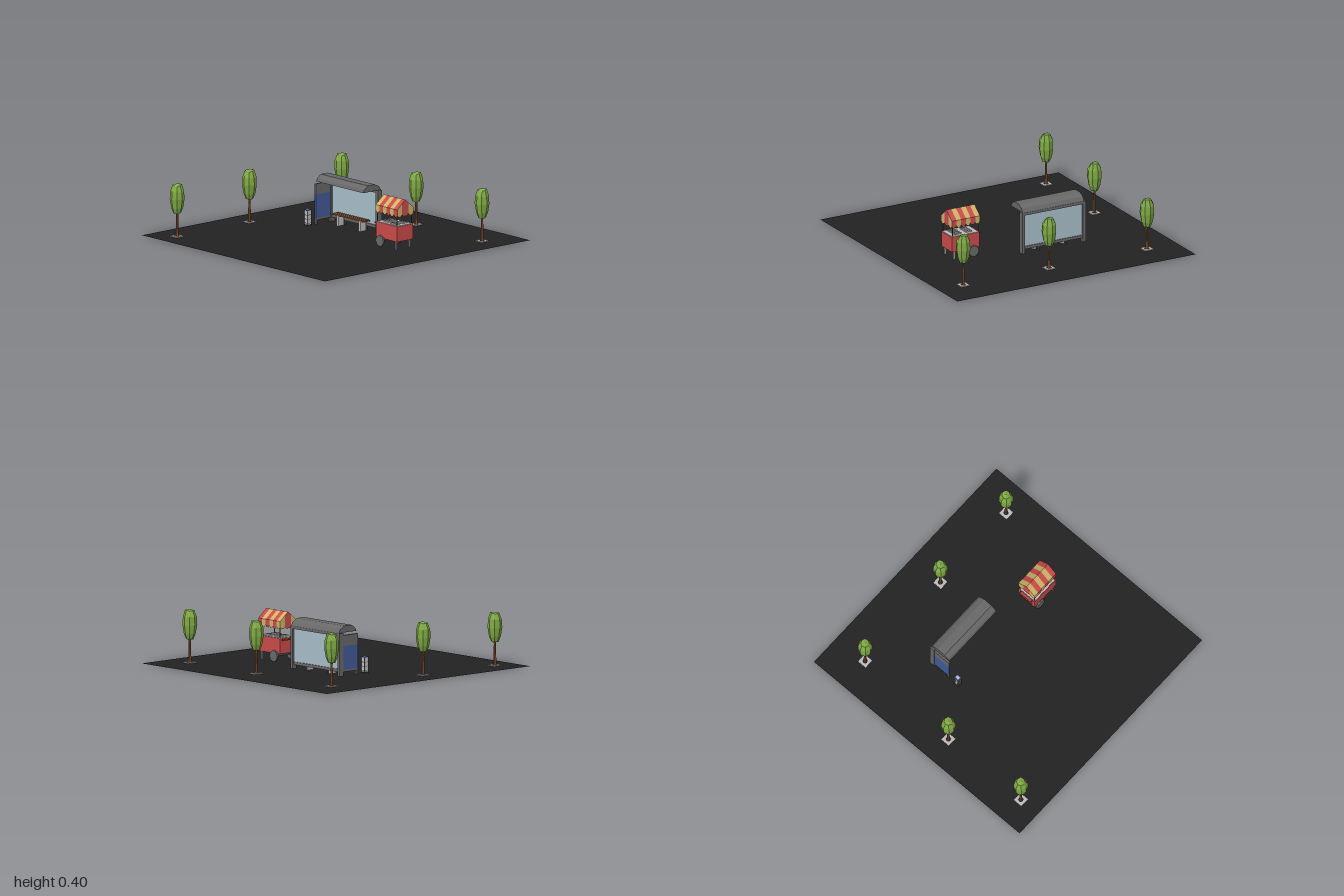
import * as THREE from 'three';

const mat = (name, color, side = THREE.FrontSide) => {
  const m = new THREE.MeshStandardMaterial({ color, side });
  m.name = name;
  return m;
};

// Faceted copy of a geometry
function flat(geometry) {
  const g = geometry.index ? geometry.toNonIndexed() : geometry;
  g.computeVertexNormals();
  return g;
}

export function createModel() {
  const M = {
    asphalt: mat('asphalt', 0x222222, THREE.DoubleSide),
    leaf: mat('leaf green', 0x7fa945),
    wood: mat('brown wood', 0x8a5232),
    steel: mat('grey steel', 0x686868),
    dark: mat('dark grey', 0x4a4a4a),
    pale: mat('pale grey', 0xbcbcbc),
    red: mat('red', 0xcb4b4b, THREE.DoubleSide),
    yellow: mat('straw yellow', 0xd0b468, THREE.DoubleSide),
    glass: mat('pale blue glass', 0xa8bfcb),
    blue: mat('blue', 0x415a96),
  };
  const model = new THREE.Group();
  model.name = 'streetCorner';

  const add = (parent, name, geometry, material) => {
    const mesh = new THREE.Mesh(geometry, material);
    mesh.name = name;
    parent.add(mesh);
    return mesh;
  };
  // Box given by its min and max on each axis
  const box = (parent, name, material, x0, x1, y0, y1, z0, z1) => {
    const mesh = add(parent, name, new THREE.BoxGeometry(x1 - x0, y1 - y0, z1 - z0), material);
    mesh.position.set((x0 + x1) / 2, (y0 + y1) / 2, (z0 + z1) / 2);
    return mesh;
  };
  const group = (name, x = 0, z = 0) => {
    const g = new THREE.Group();
    g.name = name;
    g.position.set(x, 0, z);
    model.add(g);
    return g;
  };
  const polygon = (points) => new THREE.Shape(points.map(([x, y]) => new THREE.Vector2(x, y)));

  add(model, 'ground', new THREE.PlaneGeometry(2, 2).rotateX(-Math.PI / 2), M.asphalt);

  // Trees: faceted crown, tapered trunk, square grate
  const profile = [[0, 0.17], [0.027, 0.175], [0.043, 0.215], [0.054, 0.28], [0.051, 0.34], [0.032, 0.385], [0, 0.395]];
  const crown = new THREE.LatheGeometry(profile.map(([r, y]) => new THREE.Vector2(r, y)), 8);
  const p = crown.attributes.position;
  for (let i = 0; i < p.count; i++) {
    const x = p.getX(i), y = p.getY(i), z = p.getZ(i);
    if (Math.hypot(x, z) < 0.001) continue;
    const wobble = Math.sin(x * 230 + y * 90) * Math.cos(z * 170 - y * 60);
    p.setXYZ(i, x * (1 + 0.07 * wobble), y + 0.009 * wobble, z * (1 + 0.07 * wobble));
  }
  const crownGeo = flat(crown);
  const trunkGeo = flat(new THREE.CylinderGeometry(0.007, 0.012, 0.19, 6).translate(0, 0.095, 0));
  const grateShape = polygon([[-0.036, -0.036], [0.036, -0.036], [0.036, 0.036], [-0.036, 0.036]]);
  grateShape.holes.push(new THREE.Path().absarc(0, 0, 0.019, 0, Math.PI * 2, true));
  const grateGeo = new THREE.ExtrudeGeometry(grateShape, { depth: 0.005, bevelEnabled: false, curveSegments: 4 })
    .rotateX(-Math.PI / 2);
  for (const [x, z] of [[-0.835, -0.8], [-0.13, -0.8], [0.725, -0.75], [0.72, 0.07], [0.72, 0.79]]) {
    const tree = group('tree', x, z);
    add(tree, 'crown', crownGeo, M.leaf);
    add(tree, 'trunk', trunkGeo, M.wood);
    add(tree, 'treeGrate', grateGeo, M.pale);
    for (const s of [-1, 1]) {
      const branch = add(tree, 'branch', new THREE.CylinderGeometry(0.003, 0.005, 0.06, 5), M.wood);
      branch.position.set(s * 0.008, 0.17, 0);
      branch.rotation.z = -s * 0.3;
    }
  }

  // Bus shelter: arched roof, glazed back wall, one end panel, bench
  const shelter = group('shelter');
  const arch = polygon([[0.19, 0.318], [0.2, 0.34], [0.235, 0.366], [0.305, 0.366], [0.345, 0.345], [0.365, 0.315], [0.335, 0.318]]);
  const roof = add(shelter, 'roof', new THREE.ExtrudeGeometry(arch, { depth: 0.515, bevelEnabled: false }), M.steel);
  roof.position.z = -0.43;
  for (const z of [-0.443, 0.068]) {
    box(shelter, 'post', M.steel, 0.327, 0.366, 0, 0.316, z, z + 0.022);
  }
  box(shelter, 'topBeam', M.steel, 0.333, 0.367, 0.295, 0.316, -0.443, 0.09);
  box(shelter, 'bottomRail', M.steel, 0.337, 0.357, 0.03, 0.052, -0.43, 0.08);
  box(shelter, 'backGlass', M.glass, 0.343, 0.351, 0.05, 0.297, -0.425, 0.07);
  for (const z of [-0.29, -0.06]) box(shelter, 'railFoot', M.steel, 0.342, 0.352, 0, 0.032, z, z + 0.008);
  box(shelter, 'endPanelHead', M.steel, 0.185, 0.328, 0.22, 0.3, -0.44, -0.425);
  box(shelter, 'endPanel', M.blue, 0.185, 0.328, 0.045, 0.22, -0.44, -0.425);
  box(shelter, 'endPanelSill', M.steel, 0.185, 0.328, 0.03, 0.045, -0.44, -0.425);
  box(shelter, 'endPanelFoot', M.steel, 0.185, 0.197, 0, 0.03, -0.44, -0.425);
  for (let i = 0; i < 3; i++) {
    const x = 0.262 + i * 0.021;
    box(shelter, 'benchSlat', M.wood, x, x + 0.017, 0.075, 0.085, -0.34, 0.01);
  }
  for (const z of [-0.29, -0.05]) box(shelter, 'benchSupport', M.pale, 0.265, 0.32, 0, 0.075, z, z + 0.02);

  // Litter bin: slatted sides, framed top
  const bin = group('litterBin', 0.108, -0.43);
  box(bin, 'binBody', M.pale, -0.018, 0.018, 0.008, 0.115, -0.016, 0.016);
  for (const x of [-0.019, 0.019]) for (const z of [-0.017, 0.017]) {
    box(bin, 'binPost', M.dark, x - 0.002, x + 0.002, 0, 0.12, z - 0.002, z + 0.002);
  }
  for (const y of [0.02, 0.05, 0.08]) box(bin, 'binBand', M.dark, -0.0195, 0.0195, y, y + 0.003, -0.0175, 0.0175);
  box(bin, 'binRim', M.blue, -0.022, 0.022, 0.115, 0.121, -0.019, 0.019);
  box(bin, 'binLid', M.pale, -0.013, 0.013, 0.121, 0.124, -0.011, 0.011);

  // Vending cart: red body, counter, wheels and legs
  const cart = group('cart', 0.142, 0.48);
  box(cart, 'cartBody', M.red, -0.078, 0.078, 0.06, 0.174, -0.115, 0.117);
  box(cart, 'counter', M.pale, -0.074, 0.074, 0.174, 0.178, -0.111, 0.113);
  for (const [x, z, w, d] of [[-0.035, 0.05, 0.045, 0.06], [0.03, 0.05, 0.04, 0.06], [0, -0.045, 0.09, 0.05]]) {
    box(cart, 'foodTray', M.pale, x - w / 2, x + w / 2, 0.178, 0.186, z - d / 2, z + d / 2);
    box(cart, 'trayInset', M.steel, x - w / 2 + 0.006, x + w / 2 - 0.006, 0.186, 0.1875, z - d / 2 + 0.006, z + d / 2 - 0.006);
  }
  const wheelGeo = flat(new THREE.CylinderGeometry(0.043, 0.043, 0.014, 8).rotateZ(Math.PI / 2));
  for (const s of [-1, 1]) {
    add(cart, 'wheel', wheelGeo, M.steel).position.set(s * 0.086, 0.041, -0.06);
    box(cart, 'leg', M.pale, s * 0.066 - 0.006, s * 0.066 + 0.006, 0, 0.06, 0.085, 0.097);
    box(cart, 'handleArm', M.dark, s * 0.055 - 0.003, s * 0.055 + 0.003, 0.16, 0.167, -0.135, -0.115);
    for (const z of [-0.108, 0.108]) {
      box(cart, 'awningPost', M.dark, s * 0.07 - 0.0025, s * 0.07 + 0.0025, 0.174, 0.3, z - 0.0025, z + 0.0025);
    }
  }
  box(cart, 'axle', M.dark, -0.08, 0.08, 0.037, 0.045, -0.064, -0.056);
  box(cart, 'axleMount', M.dark, -0.05, 0.05, 0.04, 0.06, -0.07, -0.05);
  box(cart, 'handle', M.wood, -0.07, 0.07, 0.159, 0.168, -0.139, -0.131);

  // Awning: striped gable roof with scalloped valances
  const W = 0.078, EAVE = 0.3, RIDGE = 0.365, HEM = 0.243, L = 0.236, N = 6;
  const ridgeY = (x) => RIDGE - (RIDGE - EAVE) * Math.abs(x) / W;
  const flap = (a, b, tops) => new THREE.ShapeGeometry(polygon(
    [[a, HEM + 0.014], [a + 0.011, HEM], [b - 0.011, HEM], [b, HEM + 0.014], ...tops]));
  const step = L / N, slope = Math.hypot(W, RIDGE - EAVE);
  for (let i = 0; i < N; i++) {
    const z = -L / 2 + (i + 0.5) * step;
    const colour = i % 2 ? M.red : M.yellow;
    for (const s of [-1, 1]) {
      const panel = add(cart, 'awningStripe', new THREE.PlaneGeometry(slope, step).rotateX(-Math.PI / 2), colour);
      panel.position.set(s * W / 2, (EAVE + RIDGE) / 2, z);
      panel.rotation.z = -s * Math.atan2(RIDGE - EAVE, W);
      const valance = add(cart, 'sideValance', flap(-step / 2, step / 2, [[step / 2, EAVE], [-step / 2, EAVE]]), colour);
      valance.position.set(s * W, 0, z);
      valance.rotation.y = s * Math.PI / 2;
    }
  }
  for (const s of [-1, 1]) {
    const cuts = [-W, -0.03, 0.03, W];
    for (let i = 0; i < 3; i++) {
      const a = cuts[i], b = cuts[i + 1];
      const tops = [[b, ridgeY(b)], ...(i === 1 ? [[0, RIDGE]] : []), [a, ridgeY(a)]];
      const end = add(cart, 'endValance', flap(a, b, tops), i === 1 ? M.red : M.yellow);
      end.position.z = s * L / 2;
      end.rotation.y = s > 0 ? 0 : Math.PI;
    }
  }
  return model;
}
